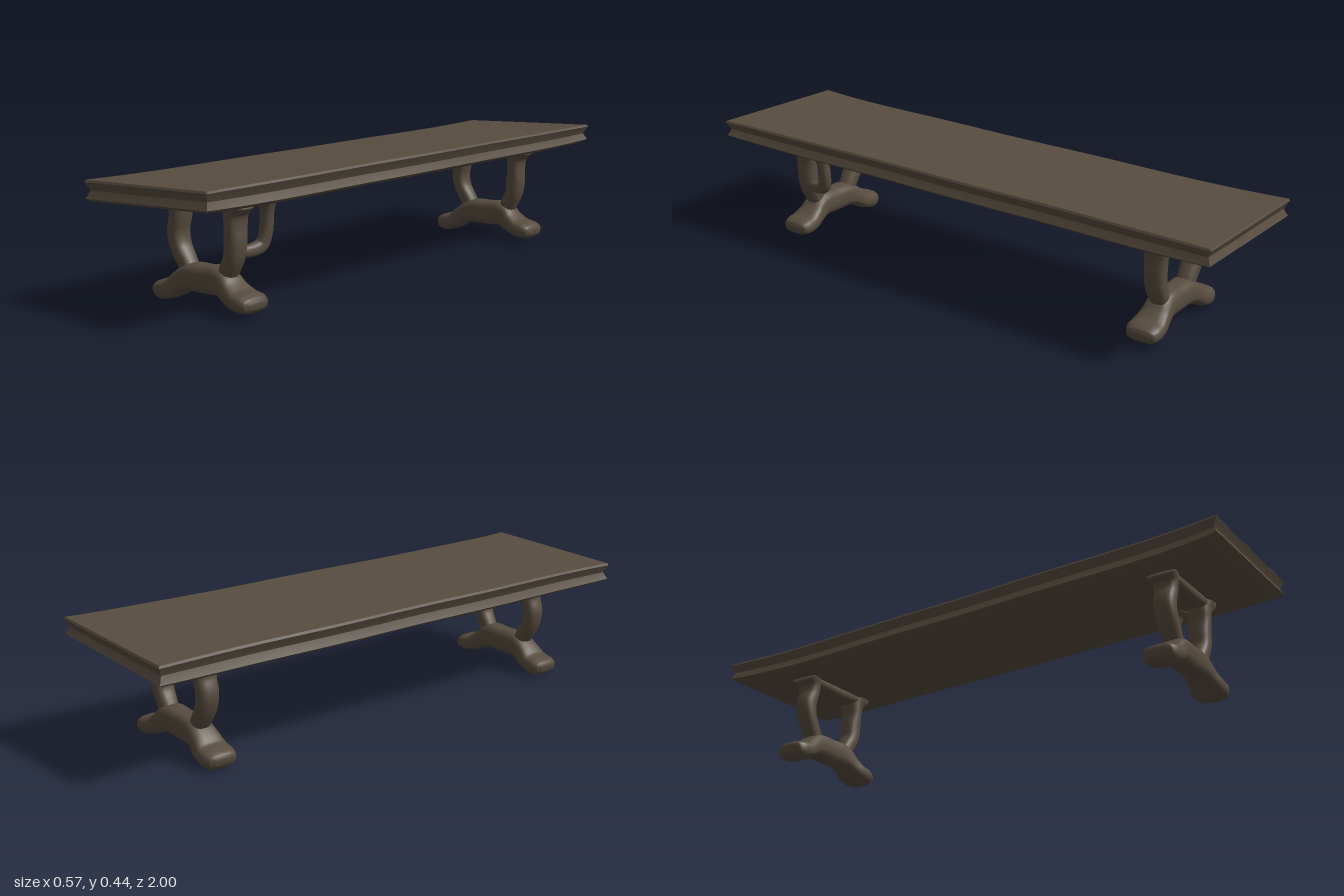
import * as THREE from 'three';
import { toCreasedNormals } from 'three/addons/utils/BufferGeometryUtils.js';

const Z = new THREE.Vector3(0, 0, 1);
const X = new THREE.Vector3(1, 0, 0);

// Sweeps a soft, slightly boxy section along stations [x, y, z, halfAcross, halfSide].
function sweep(stations, side, power = 0.8, steps = 28, sides = 20) {
  const path = new THREE.CatmullRomCurve3(stations.map(s => new THREE.Vector3(s[0], s[1], s[2])), false, 'centripetal');
  const sizes = new THREE.CatmullRomCurve3(stations.map(s => new THREE.Vector3(s[3], s[4], 0)), false, 'centripetal');
  const pos = [], idx = [];
  const soft = v => Math.sign(v) * Math.abs(v) ** power;
  for (let i = 0; i <= steps; i++) {
    const t = i / steps;
    const c = path.getPoint(t), r = sizes.getPoint(t), n = side.clone().cross(path.getTangent(t)).normalize();
    for (let j = 0; j < sides; j++) {
      const a = (j / sides) * Math.PI * 2;
      const p = c.clone().addScaledVector(n, r.x * soft(Math.cos(a))).addScaledVector(side, r.y * soft(Math.sin(a)));
      pos.push(p.x, p.y, p.z);
      if (i < steps) {
        const k = (j + 1) % sides, a0 = i * sides, b0 = a0 + sides;
        idx.push(a0 + j, a0 + k, b0 + k, a0 + j, b0 + k, b0 + j);
      }
    }
  }
  // End caps
  const first = pos.length / 3, last = steps * sides;
  const s = stations[0], e = stations[stations.length - 1];
  pos.push(s[0], s[1], s[2], e[0], e[1], e[2]);
  for (let j = 0; j < sides; j++) {
    const k = (j + 1) % sides;
    idx.push(first, k, j, first + 1, last + j, last + k);
  }
  const g = new THREE.BufferGeometry();
  g.setAttribute('position', new THREE.Float32BufferAttribute(pos, 3));
  g.setIndex(idx);
  g.computeVertexNormals();
  return g;
}

// Slanted plank with a grooved rim and a gently waisted outline.
function plankGeometry() {
  const levels = [0, 0.14, 0.3, 0.5, 0.7, 0.9, 1];
  const insets = [0.016, 0.002, 0.008, 0.014, 0.008, 0, 0.004];
  const g = new THREE.BoxGeometry(2, 6, 2, 8, 6, 40);
  const p = g.attributes.position;
  for (let i = 0; i < p.count; i++) {
    const u = p.getX(i), v = p.getZ(i), k = Math.round(p.getY(i) + 3);
    const end = Math.abs(v) ** 6;
    const half = 0.268 + 0.017 * end + 0.002 * Math.sin(v * 9 + u * 2);
    const x = u * (half - insets[k]);
    const bottom = 0.347 + 0.011 * end + 0.058 * x;
    const top = 0.423 + 0.003 * end + 0.05 * x;
    p.setXYZ(i, x, bottom + (top - bottom) * levels[k], v * (1 - insets[k]));
  }
  return toCreasedNormals(g, 0.7);
}

export function createModel() {
  const model = new THREE.Group();
  const wood = new THREE.MeshStandardMaterial({ color: 0x574c3f });
  wood.name = 'dark wood';
  const add = (parent, name, geometry) => {
    const mesh = new THREE.Mesh(geometry, wood);
    mesh.name = name;
    parent.add(mesh);
  };

  add(model, 'plank', plankGeometry());

  // Trestle parts, drawn around z = 0
  const foot = sweep([
    [-0.225, 0.03, 0, 0.012, 0.03], [-0.215, 0.032, 0, 0.027, 0.052], [-0.185, 0.035, 0, 0.034, 0.061],
    [-0.15, 0.046, 0, 0.033, 0.06], [-0.112, 0.074, 0, 0.037, 0.052], [-0.07, 0.091, 0, 0.046, 0.046],
    [0, 0.094, 0, 0.047, 0.044], [0.07, 0.097, 0, 0.047, 0.046], [0.112, 0.074, 0, 0.036, 0.052],
    [0.15, 0.055, 0, 0.032, 0.06], [0.185, 0.049, 0, 0.031, 0.061], [0.212, 0.045, 0, 0.024, 0.052],
    [0.221, 0.044, 0, 0.01, 0.03]], Z, 0.72, 48);
  const rightPost = sweep([
    [-0.08, 0.105, 0, 0.028, 0.03], [-0.103, 0.14, 0, 0.03, 0.033], [-0.13, 0.185, 0, 0.029, 0.036],
    [-0.14, 0.235, 0, 0.031, 0.037], [-0.128, 0.285, 0, 0.028, 0.04], [-0.128, 0.318, 0, 0.032, 0.043],
    [-0.142, 0.348, 0, 0.05, 0.052]], Z);
  const leftPost = sweep([
    [0.08, 0.11, 0, 0.028, 0.03], [0.1, 0.145, 0, 0.03, 0.033], [0.12, 0.185, 0, 0.03, 0.036],
    [0.126, 0.235, 0, 0.032, 0.037], [0.128, 0.285, 0, 0.027, 0.04], [0.13, 0.325, 0, 0.032, 0.043],
    [0.145, 0.365, 0, 0.05, 0.052]], Z);
  const topRail = sweep([
    [-0.15, 0.335, 0, 0.018, 0.04], [-0.06, 0.338, 0, 0.023, 0.042],
    [0.03, 0.342, 0, 0.024, 0.042], [0.15, 0.354, 0, 0.02, 0.04]], Z, 0.7);

  for (const [name, z] of [['frontTrestle', 0.745], ['backTrestle', -0.74]]) {
    const trestle = new THREE.Group();
    trestle.name = name;
    trestle.position.z = z;
    add(trestle, 'foot', foot);
    add(trestle, 'rightPost', rightPost);
    add(trestle, 'leftPost', leftPost);
    add(trestle, 'topRail', topRail);
    model.add(trestle);
  }

  // Hooked brace from the front trestle up to the plank
  add(model, 'hookedBrace', sweep([
    [0.13, 0.198, 0.735, 0.02, 0.02], [0.138, 0.198, 0.69, 0.021, 0.02], [0.144, 0.21, 0.652, 0.023, 0.02],
    [0.15, 0.25, 0.638, 0.022, 0.02], [0.157, 0.31, 0.639, 0.022, 0.021], [0.162, 0.338, 0.642, 0.026, 0.024],
    [0.165, 0.362, 0.645, 0.042, 0.032]], X));

  return model;
}
